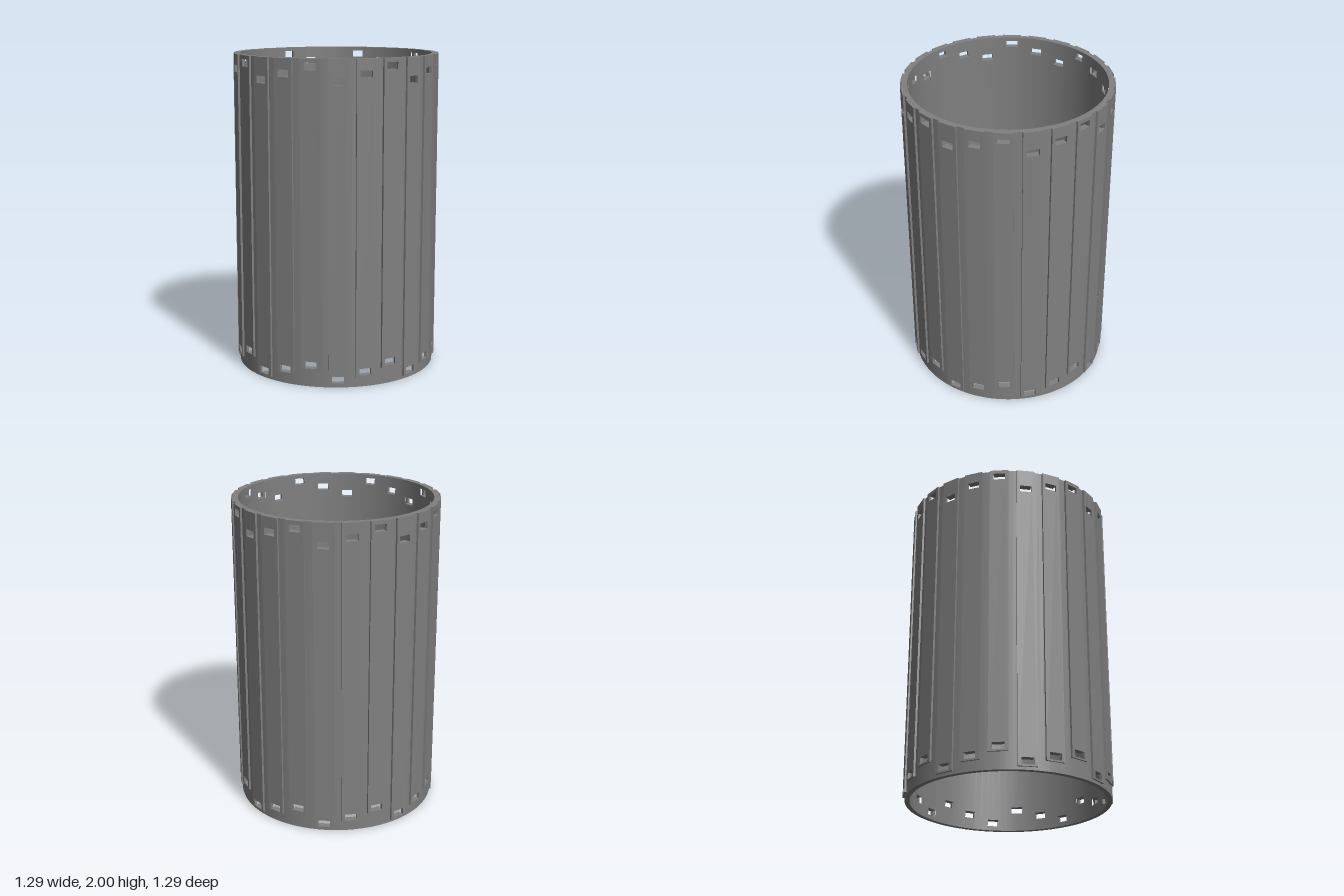
import * as THREE from 'three';

const COUNT = 24, STEP = (Math.PI * 2) / COUNT;
const HEIGHT = 2, R_IN = 0.605, R_OUT = 0.635;
const HOLE_W = 0.075, HOLE_H = 0.043, LEVEL = 0.0445;
const PLANK_W = 0.118, PLANK_FACE = 0.645, PLANK_DEPTH = 0.018;

// Lower edges of the two slots; heights repeat in a cycle of three
const slotBottoms = (i) => [0.029, 1.844].map((y) => y + (i % 3) * LEVEL);

// Round wall, laid out as a grid of cells with the slot cells left open
function wallGeometry() {
  const pos = [], nor = [], index = [];
  const point = (a, r, y) => [Math.sin(a) * r, y, Math.cos(a) * r];
  // corners run counter-clockwise as seen from the visible side
  const quad = (corners, normals) => {
    const n = pos.length / 3;
    corners.forEach((c, k) => { pos.push(...c); nor.push(...normals[k]); });
    index.push(n, n + 1, n + 2, n, n + 2, n + 3);
  };
  const flat = (n) => [n, n, n, n];
  const up = flat([0, 1, 0]), down = flat([0, -1, 0]);
  // horizontal strip facing up or down
  const ledge = (a, b, y, facesUp) => {
    const c = [point(a, R_OUT, y), point(b, R_OUT, y), point(b, R_IN, y), point(a, R_IN, y)];
    quad(facesUp ? c : c.reverse(), facesUp ? up : down);
  };
  // slot side wall, facing towards larger (s = 1) or smaller (s = -1) angles
  const jamb = (a, y0, y1, s) => {
    const c = [point(a, R_IN, y0), point(a, R_IN, y1), point(a, R_OUT, y1), point(a, R_OUT, y0)];
    quad(s < 0 ? c : c.reverse(), flat([Math.cos(a) * s, 0, -Math.sin(a) * s]));
  };
  const half = Math.asin(HOLE_W / 2 / R_OUT);
  const stops = [-STEP / 2, -half, 0, half, STEP / 2];
  for (let i = 0; i < COUNT; i++) {
    const [b, t] = slotBottoms(i);
    const ys = [0, b, b + HOLE_H, t, t + HOLE_H, HEIGHT];
    for (let c = 0; c < 4; c++) {
      const a0 = i * STEP + stops[c], a1 = i * STEP + stops[c + 1];
      const n0 = point(a0, 1, 0), n1 = point(a1, 1, 0);
      const m0 = point(a0, -1, 0), m1 = point(a1, -1, 0);
      const slotColumn = c === 1 || c === 2;
      ledge(a0, a1, 0, false);
      ledge(a0, a1, HEIGHT, true);
      // solid columns need no splits at the slots
      const rows = slotColumn ? ys : [0, HEIGHT];
      for (let r = 0; r < rows.length - 1; r++) {
        const y0 = rows[r], y1 = rows[r + 1];
        if (slotColumn && r % 2 === 1) {
          ledge(a0, a1, y0, true);
          ledge(a0, a1, y1, false);
          if (c === 1) jamb(a0, y0, y1, 1);
          else jamb(a1, y0, y1, -1);
          continue;
        }
        quad([point(a0, R_OUT, y0), point(a1, R_OUT, y0), point(a1, R_OUT, y1), point(a0, R_OUT, y1)],
          [n0, n1, n1, n0]);
        quad([point(a1, R_IN, y0), point(a0, R_IN, y0), point(a0, R_IN, y1), point(a1, R_IN, y1)],
          [m1, m0, m0, m1]);
      }
    }
  }
  const g = new THREE.BufferGeometry();
  g.setAttribute('position', new THREE.Float32BufferAttribute(pos, 3));
  g.setAttribute('normal', new THREE.Float32BufferAttribute(nor, 3));
  g.setIndex(index);
  return g;
}

function rectangle(target, w, y0, y1) {
  target.moveTo(-w / 2, y0);
  target.lineTo(w / 2, y0);
  target.lineTo(w / 2, y1);
  target.lineTo(-w / 2, y1);
  target.closePath();
  return target;
}

// Flat plank with two slots; its foot stops just under the lower slot
function plankGeometry(i) {
  const slots = slotBottoms(i);
  const shape = rectangle(new THREE.Shape(), PLANK_W, slots[0] - 0.01, HEIGHT);
  for (const y of slots) shape.holes.push(rectangle(new THREE.Path(), HOLE_W, y, y + HOLE_H));
  const g = new THREE.ExtrudeGeometry(shape, { depth: PLANK_DEPTH, bevelEnabled: false });
  return g.translate(0, 0, PLANK_FACE - PLANK_DEPTH);
}

export function createModel() {
  const group = new THREE.Group();
  group.name = 'slottedCylinder';
  const grey = new THREE.MeshStandardMaterial({ color: 0x808080 });
  grey.name = 'grey';

  const wall = new THREE.Mesh(wallGeometry(), grey);
  wall.name = 'wall';
  group.add(wall);

  // Planks around the wall
  const planks = new THREE.Group();
  planks.name = 'planks';
  const variants = [0, 1, 2].map(plankGeometry);
  for (let i = 0; i < COUNT; i++) {
    const plank = new THREE.Mesh(variants[i % 3], grey);
    plank.name = `plank${i + 1}`;
    plank.rotation.y = i * STEP;
    planks.add(plank);
  }
  group.add(planks);
  return group;
}
